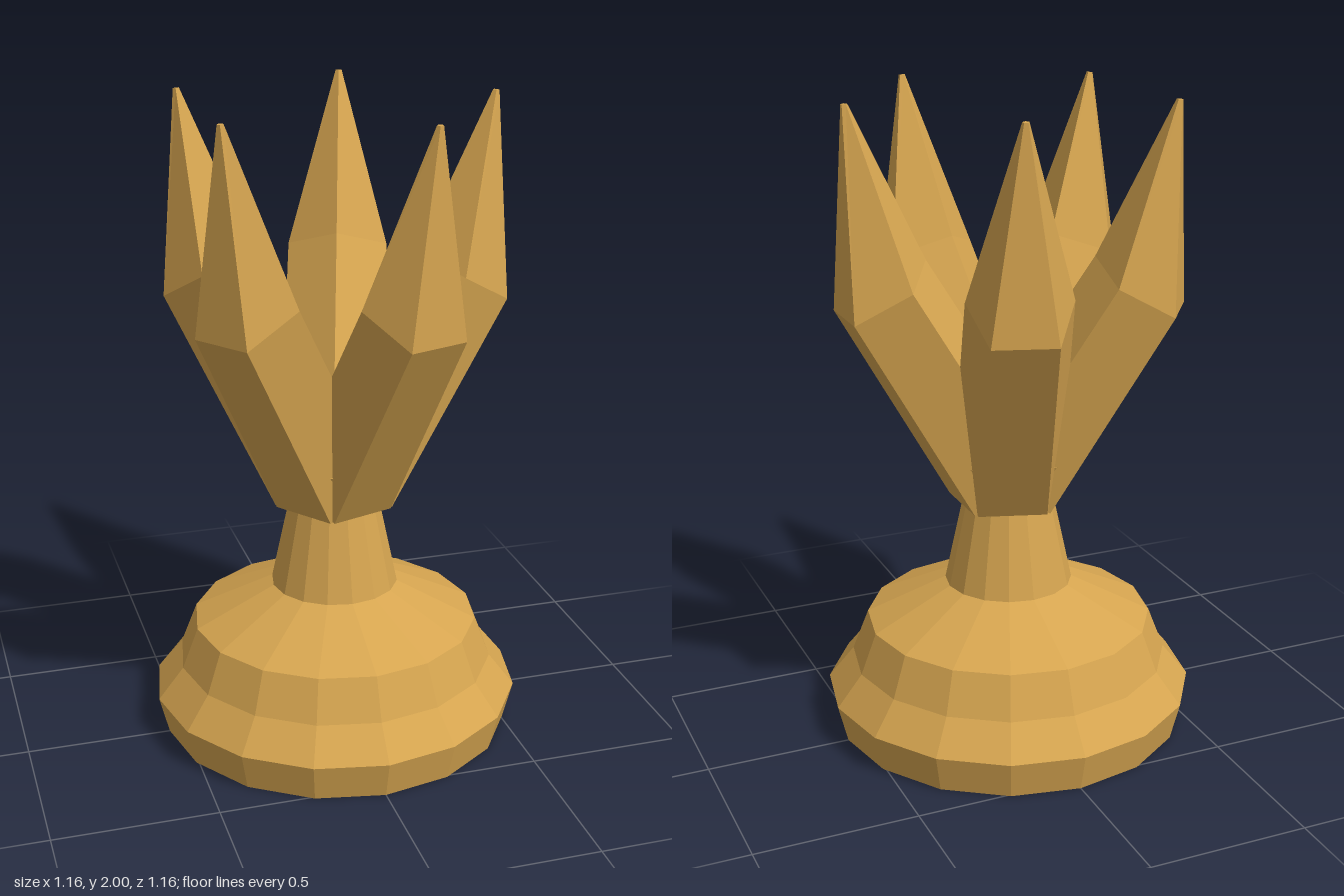
import * as THREE from 'three';

const SIDES = 5;

// Five-sided crystal: tilted pentagon rings joined bottom to top, with end caps
function spikeGeometry() {
  // x, y of ring centre, radius, outward tilt
  const rings = [
    [0.03, 0.813, 0.18, 0.53],
    [0.405, 1.447, 0.164, 0.53],
    [0.5, 1.999, 0.01, 0.1],
  ];
  const points = [];
  for (const [x, y, r, tilt] of rings) {
    for (let k = 0; k < SIDES; k++) {
      const a = ((k + 0.5) / SIDES) * Math.PI * 2;
      const u = Math.cos(a) * r;
      points.push(x + u * Math.cos(tilt), y - u * Math.sin(tilt), Math.sin(a) * r);
    }
  }
  const index = [];
  for (let i = 0; i < rings.length - 1; i++) {
    for (let k = 0; k < SIDES; k++) {
      const a = i * SIDES + k;
      const b = i * SIDES + ((k + 1) % SIDES);
      index.push(a, a + SIDES, b, b, a + SIDES, b + SIDES);
    }
  }
  const top = (rings.length - 1) * SIDES;
  for (let k = 1; k < SIDES - 1; k++) {
    index.push(0, k, k + 1, top, top + k + 1, top + k);
  }
  const geometry = new THREE.BufferGeometry();
  geometry.setAttribute('position', new THREE.Float32BufferAttribute(points, 3));
  geometry.setIndex(index);
  const flat = geometry.toNonIndexed();
  flat.computeVertexNormals();
  return flat;
}

// Faceted turned shape from a radius/height profile
function turned(profile) {
  const geometry = new THREE.LatheGeometry(profile.map(([r, y]) => new THREE.Vector2(r, y)), 16);
  const flat = geometry.toNonIndexed();
  flat.computeVertexNormals();
  return flat;
}

export function createModel() {
  const model = new THREE.Group();
  model.name = 'crystalTrophy';
  const gold = new THREE.MeshStandardMaterial({ color: 0xd6a550 });
  gold.name = 'gold';
  gold.flatShading = true;

  const add = (name, geometry) => {
    const mesh = new THREE.Mesh(geometry, gold);
    mesh.name = name;
    model.add(mesh);
    return mesh;
  };

  // Stepped foot
  add('base', turned([[0, 0], [0.55, 0], [0.58, 0.12], [0.5, 0.22], [0.45, 0.35], [0.2, 0.47]]));

  // Tapering stem, flaring into a small cup hidden among the spikes
  add('stem', turned([[0.2, 0.47], [0.14, 0.75], [0.22, 0.9], [0, 0.9]]));

  // Ring of leaning crystals
  const spike = spikeGeometry();
  for (let i = 0; i < 5; i++) {
    add(`spike${i + 1}`, spike).rotation.y = (i / 5) * Math.PI * 2;
  }
  return model;
}
